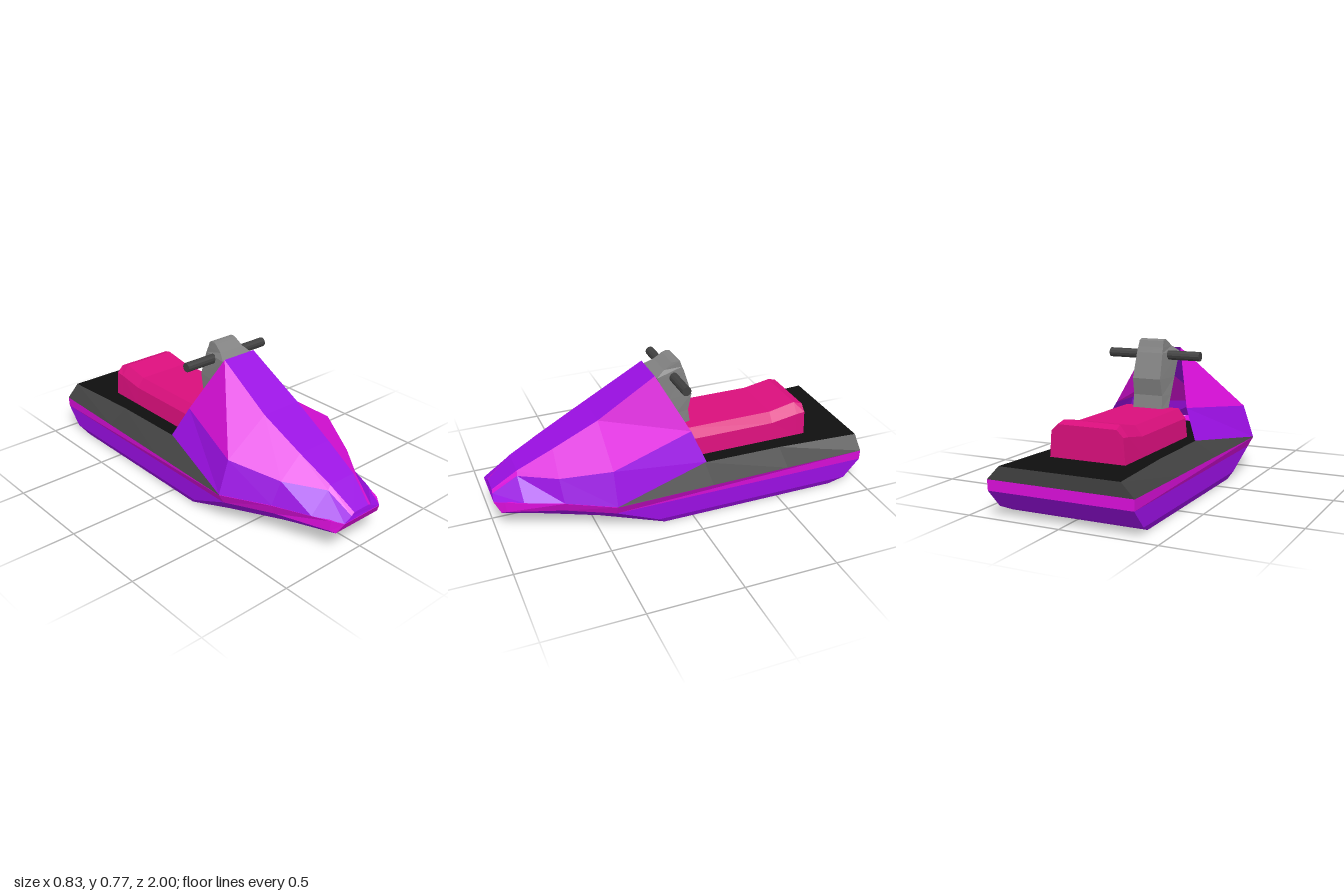
import * as THREE from 'three';

const paint = (name, color, side = THREE.FrontSide) =>
  Object.assign(new THREE.MeshStandardMaterial({ color, flatShading: true, side }), { name });

export function createModel() {
  const purple = paint('purple', 0x9a0fe2, THREE.DoubleSide);
  const magenta = paint('magenta', 0xd90fd9, THREE.DoubleSide);
  const pink = paint('pink', 0xd90f7c);
  const charcoal = paint('charcoal', 0x404040);
  const black = paint('black', 0x0f0f0f, THREE.DoubleSide);
  const grey = paint('grey', 0x828282);

  const model = new THREE.Group();
  model.name = 'waterScooter';

  // Faceted skin over a list of cross-sections, with optional end caps
  function loft(name, material, rows, { start = false, end = false } = {}) {
    const pos = [];
    const tri = (a, b, c) => pos.push(...a, ...b, ...c);
    for (let i = 0; i < rows.length - 1; i++) {
      for (let j = 0; j < rows[i].length - 1; j++) {
        const a = rows[i][j], b = rows[i][j + 1], c = rows[i + 1][j], d = rows[i + 1][j + 1];
        tri(a, c, b);
        tri(b, c, d);
      }
    }
    const fan = (r) => { for (let k = 1; k < r.length - 1; k++) tri(r[0], r[k], r[k + 1]); };
    if (start) fan(rows[0]);
    if (end) fan([...rows[rows.length - 1]].reverse());
    const geo = new THREE.BufferGeometry();
    geo.setAttribute('position', new THREE.Float32BufferAttribute(pos, 3));
    geo.computeVertexNormals();
    const mesh = new THREE.Mesh(geo, material);
    mesh.name = name;
    model.add(mesh);
    return mesh;
  }

  const flip = ([x, y, z]) => [-x, y, z];
  // Closed ring from its +x half, listed stern to nose
  const ring = (half) => [...half, ...half.map(flip).reverse(), half[0]];
  // Open arch from its +x half, listed centre to edge
  const arch = (half) => [...half.map(flip).reverse(), ...half];

  // Hull: outlines stacked from the bottom up
  const bottom = ring([[.365, 0, -.83], [.365, 0, .16], [.26, 0, .335], [.15, 0, .52], [.13, 0, .522]]);
  const chine = ring([[.385, .037, -.91], [.385, .037, .2], [.268, .038, .41], [.155, .04, .655], [.14, .04, .664]]);
  const gunwale = ring([[.385, .135, -1], [.385, .135, .43], [.262, .135, .67], [.168, .135, .945], [.15, .125, .97]]);
  const rim = ring([[.388, .19, -1], [.415, .19, .43], [.285, .19, .67], [.165, .19, .95], [.125, .18, 1]]);
  loft('lowerHull', purple, [bottom, chine, gunwale], { start: true });
  loft('hullRim', magenta, [gunwale, rim], { end: true });

  // Deck: sloping charcoal sides, closed stern and a black floor
  const deckOuter = [[.388, .19, -1], [.397, .19, -.54], [.405, .19, -.1], [.415, .19, .43]];
  const deckInner = [[.32, .26, -1], [.29, .26, -.54], [.285, .26, -.1], [.41, .193, .43]];
  loft('deckSideLeft', charcoal, deckOuter.map((p, i) => [deckInner[i], p]));
  loft('deckSideRight', charcoal, deckOuter.map((p, i) => [flip(p), flip(deckInner[i])]));
  loft('deckStern', charcoal, [arch([deckInner[0], deckOuter[0]])], { start: true });
  loft('floor', black, [...deckInner.slice(0, 3), [.285, .26, .38]].map((p) => [flip(p), p]));

  // Cowl: sections from the open rear to the nose, striped by column
  const cowl = [
    [[.1, .722, .11], [.21, .42, -.05], [.285, .262, -.11]],
    [[.115, .535, .43], [.355, .367, .43], [.415, .192, .43]],
    [[.1, .412, .67], [.235, .312, .68], [.285, .192, .67]],
    [[.082, .315, .86], [.102, .295, .865], [.205, .192, .86]],
    [[.05, .212, .992], [.07, .2, .994], [.125, .183, 1]],
  ].map(arch);
  const names = ['cowlLowerRight', 'cowlUpperRight', 'cowlCentre', 'cowlUpperLeft', 'cowlLowerLeft'];
  names.forEach((name, j) =>
    loft(name, j % 2 ? magenta : purple, cowl.map((row) => [row[j], row[j + 1]])));
  loft('cowlNose', purple, [cowl[4]], { end: true });

  // Seat: bevelled bench with a raised tail
  const seat = [
    // z, shoulder height, top height, half width of the top
    [-.738, .39, .425, .16],
    [-.69, .385, .44, .152],
    [-.54, .36, .411, .155],
    [-.03, .36, .411, .155],
  ].map(([z, shoulder, top, w]) => arch([[w, top, z], [.195, shoulder, z], [.205, .26, z]]));
  loft('seat', pink, seat, { start: true, end: true });

  // Steering console: four-sided column leaning over the seat
  const column = [
    // height, front z, back z, front half width, back half width
    [.41, -.04, -.095, .1, .085],
    [.48, -.008, -.085, .1, .083],
    [.57, .034, -.105, .1, .08],
    [.705, .098, -.065, .1, .075],
    [.735, .05, -.053, .076, .073],
    [.768, .005, -.042, .07, .07],
    [.775, -.01, -.03, .068, .068],
  ].map(([y, front, back, wf, wb]) => ring([[wb, y, back], [wf, y, front]]));
  loft('steeringConsole', grey, column, { start: true, end: true });

  // Handlebar
  const bar = new THREE.Mesh(new THREE.CylinderGeometry(.025, .025, .53, 12), charcoal);
  bar.name = 'handlebar';
  bar.rotation.z = Math.PI / 2;
  bar.position.set(0, .69, 0);
  model.add(bar);

  return model;
}
